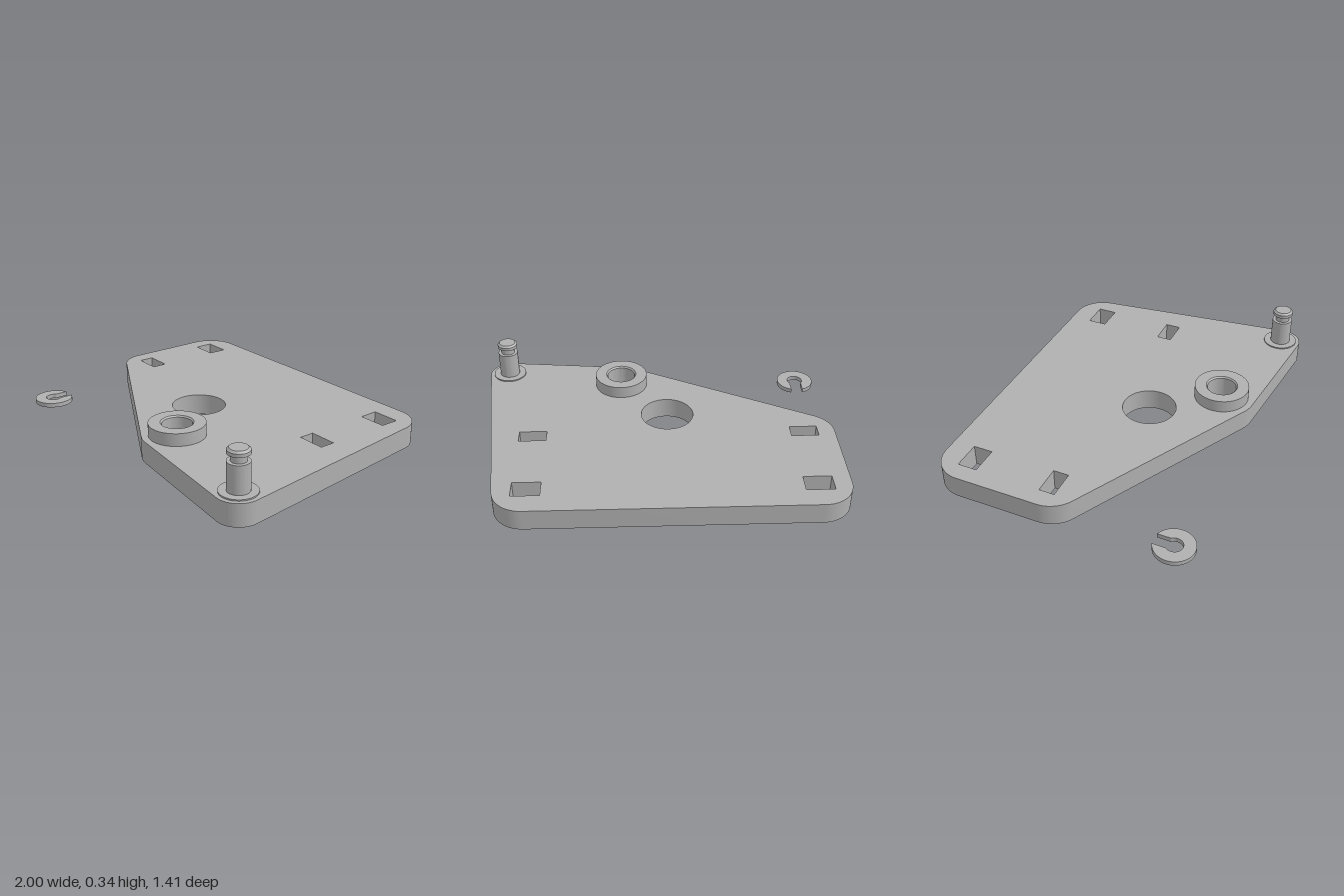
import * as THREE from 'three';
import { toCreasedNormals } from 'three/addons/utils/BufferGeometryUtils.js';

const PLATE_T = 0.12, CLIP_T = 0.025;

export function createModel() {
  const group = new THREE.Group();
  const grey = new THREE.MeshStandardMaterial({ color: 0xb0b0b0 });
  grey.name = 'metalGrey';

  const add = (name, geometry, x = 0, z = 0) => {
    const mesh = new THREE.Mesh(toCreasedNormals(geometry, 0.45), grey);
    mesh.name = name;
    mesh.position.set(x, 0, z);
    group.add(mesh);
  };
  // Upright slab from a plan drawn in (x, -z)
  const slab = (shape, depth) => new THREE.ExtrudeGeometry(shape, {
    depth, bevelEnabled: false, curveSegments: 32,
  }).rotateX(-Math.PI / 2);
  const lathe = (profile) => new THREE.LatheGeometry(
    profile.map(([r, y]) => new THREE.Vector2(r, y)), 64);

  // Outline wrapped around corner circles [x, z, radius], counter-clockwise from above
  const corners = [
    [-0.83, -0.082, 0.17], [0.195, 0.445, 0.188], [0.88, 0.587, 0.118],
    [0.695, -0.54, 0.17], [-0.83, -0.54, 0.17],
  ];
  const n = corners.length;
  const tangents = corners.map(([x, z, r], i) => {
    const [x2, z2, r2] = corners[(i + 1) % n];
    const dx = x2 - x, dy = z - z2;
    return Math.atan2(dy, dx) - Math.acos((r - r2) / Math.hypot(dx, dy));
  });
  const plate = new THREE.Shape();
  corners.forEach(([x, z, r], i) =>
    plate.absarc(x, -z, r, tangents[(i + n - 1) % n], tangents[i], false));
  plate.closePath();

  // Round holes and the four rectangular slots
  for (const [x, z, r] of [[-0.067, 0.115, 0.149], [0.195, 0.445, 0.088]]) {
    plate.holes.push(new THREE.Path().absarc(x, -z, r, 0, Math.PI * 2, true));
  }
  for (const x of [-0.904, 0.613]) {
    for (const [z0, z1] of [[-0.59, -0.483], [-0.12, -0.035]]) {
      plate.holes.push(new THREE.Path([[x, z0], [x + 0.153, z0], [x + 0.153, z1], [x, z1]]
        .map(([px, pz]) => new THREE.Vector2(px, -pz))));
    }
  }
  add('plate', slab(plate, PLATE_T));

  // Bushing with chamfered bore running through the plate
  add('bushing', lathe([
    [0.152, PLATE_T], [0.152, 0.19], [0.088, 0.19], [0.08, 0.182], [0.08, 0.008], [0.088, 0],
  ]), 0.195, 0.445);

  // Post with base flange, retaining groove and chamfered head
  add('post', lathe([
    [0.096, PLATE_T], [0.096, 0.127], [0.0575, 0.127], [0.0575, 0.274], [0.039, 0.274],
    [0.039, 0.303], [0.0575, 0.312], [0.0575, 0.33], [0.046, 0.34], [0, 0.34],
  ]), 0.88, 0.587);

  // Loose C-shaped retaining clip, open towards the back
  const R = 0.108, r = 0.045, half = 0.034;
  const outer = Math.acos(half / R), inner = Math.acos(half / r);
  const clip = new THREE.Shape();
  clip.absarc(0, 0, R, Math.PI - outer, Math.PI * 2 + outer, false);
  clip.absarc(0, 0, r, inner, -Math.PI - inner, true);
  clip.closePath();
  add('retainingClip', slab(clip, CLIP_T), -0.892, 0.597);

  return group;
}
